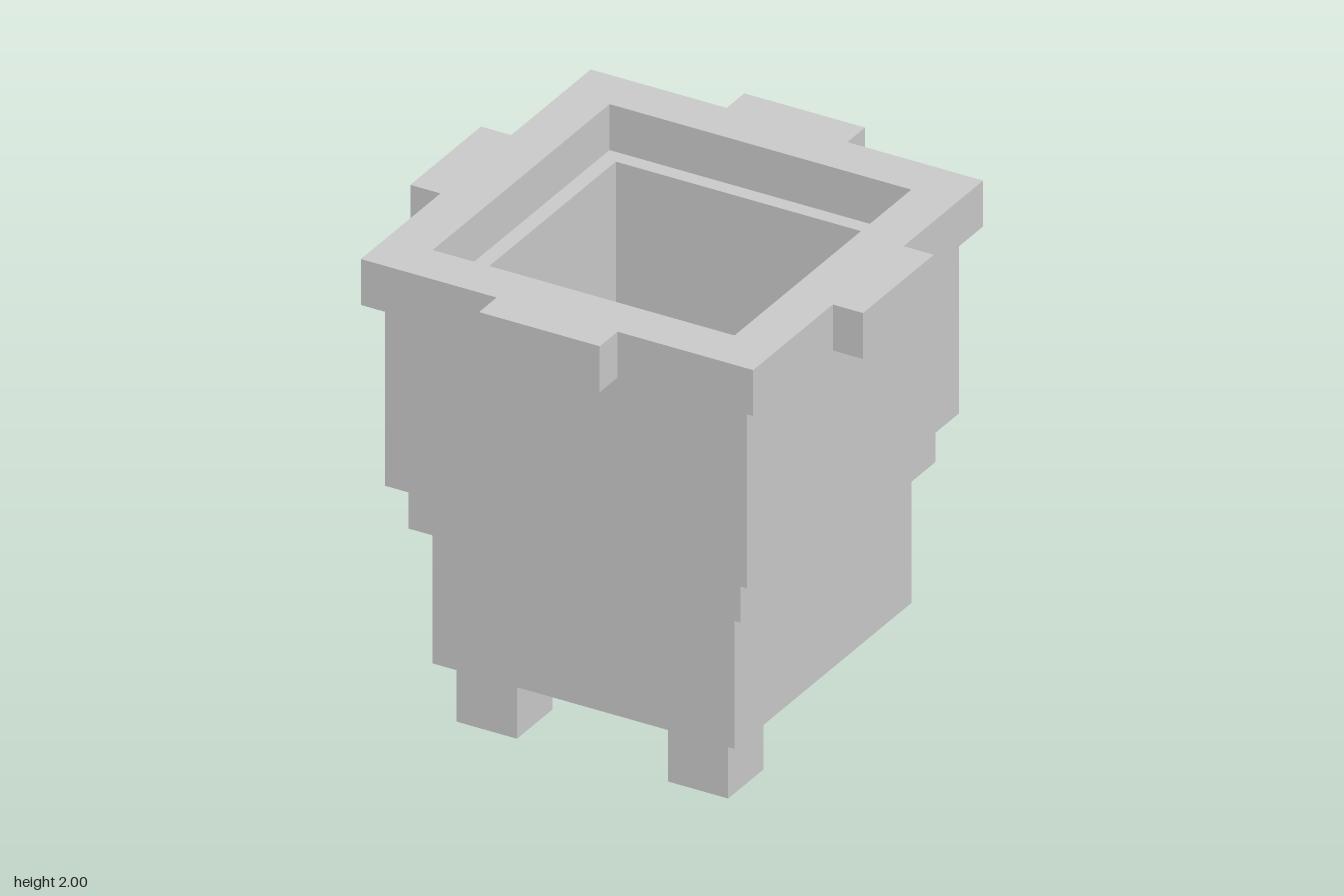
import * as THREE from 'three';

// All sizes are whole multiples of one grid unit; the model is 31 units tall.
const U = 2 / 31;

// Outline of a square with the given half width
function square(half, Type) {
  const h = half * U;
  const path = new Type();
  path.moveTo(-h, -h);
  path.lineTo(h, -h);
  path.lineTo(h, h);
  path.lineTo(-h, h);
  path.closePath();
  return path;
}

// Outline of the rim: a square with a tab in the middle of each side
function tabbedSquare(half, reach, tabHalf) {
  const side = [[half, -half], [half, -tabHalf], [reach, -tabHalf], [reach, tabHalf], [half, tabHalf]];
  const points = [];
  for (let i = 0; i < 4; i++) {
    for (const [x, y] of side) {
      let p = [x, y];
      for (let k = 0; k < i; k++) p = [-p[1], p[0]];
      points.push(new THREE.Vector2(p[0] * U, p[1] * U));
    }
  }
  return new THREE.Shape(points);
}

export function createModel() {
  const group = new THREE.Group();
  const stone = new THREE.MeshStandardMaterial({ color: 0xc8c8c8 });
  stone.name = 'light grey stone';

  const add = (name, geometry, x = 0, y = 0, z = 0) => {
    const mesh = new THREE.Mesh(geometry, stone);
    mesh.name = name;
    mesh.position.set(x * U, y * U, z * U);
    group.add(mesh);
  };

  // Hollow square tier standing between two heights
  const tier = (name, shape, holeHalf, bottom, top) => {
    shape.holes.push(square(holeHalf, THREE.Path));
    const geometry = new THREE.ExtrudeGeometry(shape, { depth: (top - bottom) * U, bevelEnabled: false });
    geometry.rotateX(-Math.PI / 2);
    add(name, geometry, 0, bottom, 0);
  };

  // Floor and stepped walls, widening upwards
  add('floor', new THREE.BoxGeometry(20 * U, U, 20 * U), 0, 4.5, 0);
  tier('lowerWall', square(10, THREE.Shape), 9, 5, 13);
  tier('middleBand', square(11, THREE.Shape), 9, 13, 16);
  tier('upperWall', square(12, THREE.Shape), 9, 16, 28);

  // Rim with a wider opening and four tabs
  tier('rim', tabbedSquare(13, 15, 4), 10, 28, 31);

  // Three feet: two at the front corners, one in the middle of the back
  const foot = new THREE.BoxGeometry(4 * U, 4 * U, 4 * U);
  add('frontLeftFoot', foot, 7, 2, 7);
  add('frontRightFoot', foot, -7, 2, 7);
  add('backFoot', foot, 0, 2, -7);

  return group;
}
